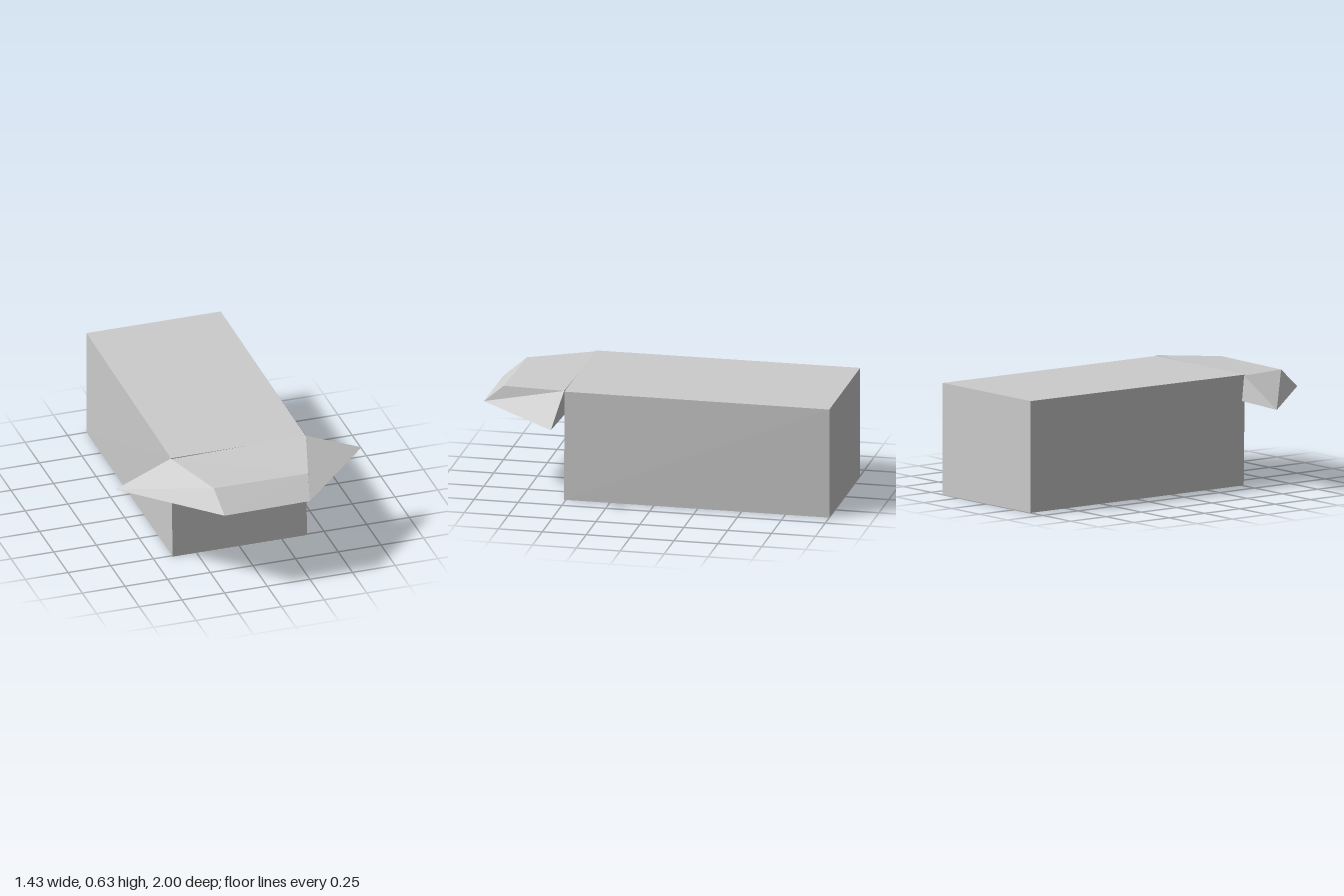
import * as THREE from 'three';

// Six-sided solid from a top and a bottom ring, each ordered
// back right, front right, front left, back left (-x is right).
function hexahedron(top, bottom) {
  const points = [];
  const tri = (a, b, c) => points.push(...a, ...b, ...c);
  for (let i = 0; i < 4; i++) {
    const j = (i + 1) % 4;
    tri(top[i], bottom[i], top[j]);
    tri(bottom[i], bottom[j], top[j]);
  }
  tri(top[0], top[1], top[2]);
  tri(top[0], top[2], top[3]);
  tri(bottom[0], bottom[2], bottom[1]);
  tri(bottom[0], bottom[3], bottom[2]);
  const geometry = new THREE.BufferGeometry();
  geometry.setAttribute('position', new THREE.Float32BufferAttribute(points, 3));
  geometry.computeVertexNormals();
  return geometry;
}

export function createModel() {
  const group = new THREE.Group();
  group.name = 'buildingWithCanopy';
  const grey = new THREE.MeshStandardMaterial({ color: 0xcccccc });
  grey.name = 'light grey';

  const add = (name, top, bottom) => {
    const mesh = new THREE.Mesh(hexahedron(top, bottom), grey);
    mesh.name = name;
    group.add(mesh);
  };

  // Long main block, very slightly out of square
  add('mainBlock',
    [[-0.39, 0.63, -1], [-0.4, 0.625, 0.51], [0.39, 0.628, 0.51], [0.397, 0.63, -1]],
    [[-0.39, 0, -1], [-0.39, 0, 0.51], [0.397, 0, 0.51], [0.397, 0, -1]]);

  // Sloping canopy over the front, flared out to pointed wings
  add('frontCanopy',
    [[-0.4, 0.62, 0.505], [-0.27, 0.6, 0.87], [0.28, 0.603, 0.88], [0.39, 0.632, 0.512]],
    [[-0.718, 0.47, 0.485], [-0.25, 0.49, 1], [0.25, 0.496, 1], [0.715, 0.503, 0.515]]);

  return group;
}
